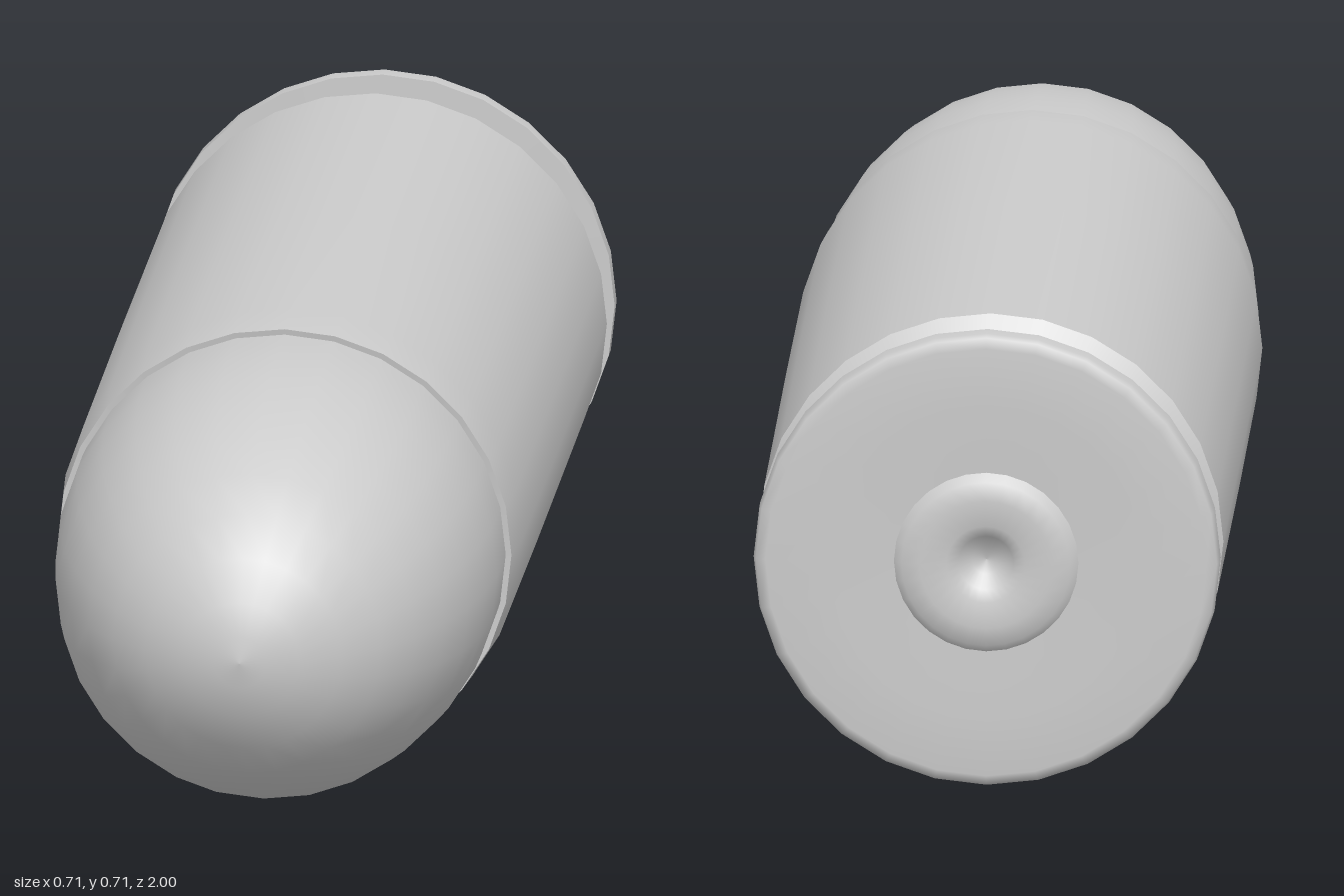
import * as THREE from 'three';

const SIDES = 28;
const CENTRE_Y = 0.355;

export function createModel() {
  const model = new THREE.Group();
  const material = new THREE.MeshStandardMaterial({ color: 0xcccccc, side: THREE.DoubleSide });

  // Turned part from [radius, z] points, back to front; each run is smooth, with hard edges between runs
  function turned(name, ...runs) {
    const part = new THREE.Group();
    part.name = name;
    runs.forEach((run, i) => {
      const geometry = new THREE.LatheGeometry(run.map(([r, z]) => new THREE.Vector2(r, z)), SIDES);
      geometry.rotateX(Math.PI / 2);
      const mesh = new THREE.Mesh(geometry, material);
      mesh.name = `${name}Surface${i + 1}`;
      mesh.position.y = CENTRE_Y;
      part.add(mesh);
    });
    model.add(part);
  }

  // Rounded nose, seated a little inside the case mouth
  turned('nose', [
    [0.336, 0.34], [0.338, 0.42], [0.337, 0.5], [0.328, 0.58], [0.312, 0.67], [0.285, 0.755],
    [0.25, 0.83], [0.205, 0.895], [0.15, 0.945], [0.09, 0.98], [0.04, 0.995], [0, 1],
  ]);

  // Straight case with a bevelled back edge and a thin mouth
  turned('caseBody',
    [[0.29, -0.89], [0.353, -0.842]],
    [[0.353, -0.842], [0.354, -0.2], [0.353, 0.3], [0.346, 0.385]],
    [[0.346, 0.385], [0.334, 0.383]]);

  // Narrow groove between the case and the rim
  turned('extractorGroove', [[0.278, -0.938], [0.278, -0.905], [0.29, -0.89]]);

  // Flat rim with softened edges
  turned('rim',
    [[0.14, -0.982], [0.24, -0.985], [0.335, -0.985], [0.35, -0.977], [0.354, -0.965], [0.354, -0.938]],
    [[0.354, -0.938], [0.278, -0.935]]);

  // Raised primer with a small struck dent
  turned('primer',
    [[0, -0.965], [0.022, -0.969], [0.042, -0.988], [0.06, -0.998], [0.1, -1], [0.128, -0.995], [0.142, -0.98]]);

  return model;
}
